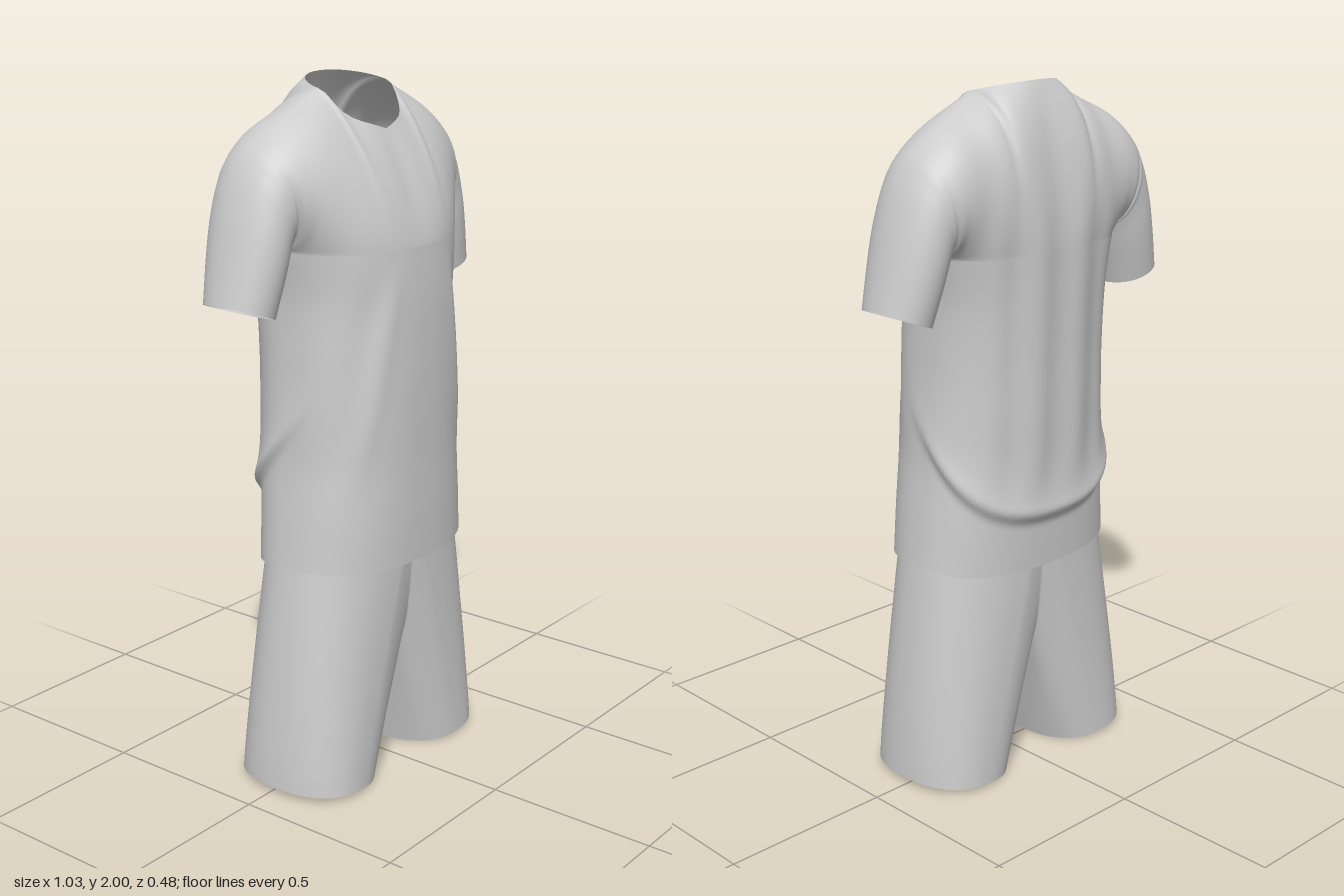
import * as THREE from 'three';
import { mergeGeometries, mergeVertices } from 'three/addons/utils/BufferGeometryUtils.js';

const fabric = new THREE.MeshStandardMaterial({ color: 0xcccccc, side: THREE.DoubleSide });
fabric.name = 'light grey fabric';

// Grid surface: point(u, v) returns [x, y, z] for u, v in 0..1. side = -1 mirrors it.
function surface(point, nu, nv, side = 1, flip = side < 0) {
  const pos = [], idx = [];
  for (let j = 0; j <= nv; j++)
    for (let i = 0; i <= nu; i++) {
      const [x, y, z] = point(i / nu, j / nv);
      pos.push(x * side, y, z);
    }
  for (let j = 0; j < nv; j++)
    for (let i = 0; i < nu; i++) {
      const a = j * (nu + 1) + i, b = a + 1, c = b + nu + 1, d = c - 1;
      if (flip) idx.push(a, c, b, a, d, c);
      else idx.push(a, b, c, a, c, d);
    }
  const g = new THREE.BufferGeometry();
  g.setAttribute('position', new THREE.Float32BufferAttribute(pos, 3));
  g.setIndex(idx);
  return g;
}

// Weld surfaces along their seams into one smooth garment
function garment(name, surfaces) {
  const g = mergeVertices(mergeGeometries(surfaces), 1e-4);
  g.computeVertexNormals();
  const mesh = new THREE.Mesh(g, fabric);
  mesh.name = name;
  return mesh;
}

// Catmull-Rom interpolation between rows of section values
function sample(rows, v) {
  const t = v * (rows.length - 1), k = Math.min(Math.floor(t), rows.length - 2), f = t - k;
  const row = i => rows[Math.max(0, Math.min(rows.length - 1, i))];
  return rows[0].map((_, c) => {
    const [a, b, d, e] = [row(k - 1)[c], row(k)[c], row(k + 1)[c], row(k + 2)[c]];
    return b + 0.5 * f * (d - a + f * (2 * a - 5 * b + 4 * d - e + f * (3 * (b - d) + e - a)));
  });
}

const power = (s, p) => Math.sign(s) * Math.abs(s) ** p;
const bell = (d, w) => Math.exp(-((d / w) ** 2));
const step = THREE.MathUtils.smoothstep;
const mix = THREE.MathUtils.lerp;

// Shirt sections, hem to armpit: half width, front z, back z, middle z, side y, front y, back y
const torsoRows = [
  [0.338, 0.238, -0.2, 0, 0.675, 0.66, 0.645],
  [0.325, 0.24, -0.208, 0, 0.8, 0.8, 0.79],
  [0.309, 0.24, -0.216, 0, 0.95, 0.95, 0.95],
  [0.304, 0.242, -0.222, 0, 1.1, 1.1, 1.1],
  [0.298, 0.242, -0.225, -0.01, 1.25, 1.25, 1.25],
  [0.296, 0.238, -0.23, -0.035, 1.42, 1.42, 1.42],
  [0.315, 0.228, -0.234, -0.058, 1.56, 1.56, 1.56],
];

function torsoRing(a, v) {
  const [hw, zf, zb, zc, ys, yf, yb] = sample(torsoRows, v);
  const s = Math.sin(a), c = Math.cos(a);
  return [
    hw * power(s, 0.82),
    ys + ((c > 0 ? yf : yb) - ys) * Math.abs(c),
    zc + (c > 0 ? zf - zc : zc - zb) * power(c, 0.82),
  ];
}

// Hanging folds down the back
const drape = (x, y) =>
  0.006 * Math.cos(x * 40) * step(y, 0.8, 1) * (1 - step(y, 1.55, 1.82)) * (1 - step(Math.abs(x), 0.15, 0.27));

function torsoPoint(u, v) {
  const a = u * Math.PI * 2, s = Math.sin(a), c = Math.cos(a);
  const [x, y, z] = torsoRing(a, v);
  // slack cloth rolled over the lower back, rising toward the flanks
  const lift = y - (0.79 + 1.2 * (z + 0.225));
  let out = 0.026 * step(lift, -0.04, 0.02) * Math.exp(-Math.max(lift, 0) / 0.07) * (1 - step(z, -0.12, 0.09));
  // slanting folds from the chest to the flanks
  if (c > 0) {
    const ax = Math.abs(x), fade = step(y, 0.85, 1.1) * (1 - step(y, 1.35, 1.55));
    out += (0.006 * bell(ax - 0.1 - (1.6 - y) * 0.2, 0.03) - 0.011 * bell(ax - 0.16 - (1.6 - y) * 0.2, 0.04)) * fade * c;
  }
  return [x + s * out, y, z + c * out + (c < 0 ? drape(x, y) : 0)];
}

// Yoke and sleeve, neck to sleeve hem: ridge x, y, z, underarm x, y,
// then the curve handles (upper y, z, lower y, z) of the front and of the back
const yokeRows = [
  [0.06, 2.01, -0.005, 0.315, 1.56, -0.09, 0.05, 0.09, -0.02, -0.1, -0.05, 0.15, 0],
  [0.148, 1.972, -0.02, 0.315, 1.56, -0.06, 0.09, 0.15, -0.01, -0.01, -0.17, 0.17, -0.02],
  [0.235, 1.93, -0.035, 0.315, 1.56, -0.02, 0.13, 0.12, 0.02, -0.01, -0.17, 0.14, -0.045],
  [0.315, 1.887, -0.05, 0.315, 1.56, -0.01, 0.15, 0.08, 0.09, 0, -0.17, 0.08, -0.11],
  [0.38, 1.832, -0.058, 0.315, 1.56, 0, 0.175, 0, 0.175, 0, -0.175, 0, -0.175],
  [0.412, 1.785, -0.058, 0.317, 1.545, 0, 0.173, 0, 0.173, 0, -0.173, 0, -0.173],
  [0.437, 1.73, -0.058, 0.322, 1.525, 0, 0.17, 0, 0.17, 0, -0.17, 0, -0.17],
  [0.463, 1.65, -0.057, 0.332, 1.485, 0, 0.166, 0, 0.166, 0, -0.166, 0, -0.166],
  [0.489, 1.55, -0.056, 0.346, 1.435, 0, 0.155, 0, 0.155, 0, -0.155, 0, -0.155],
  [0.515, 1.44, -0.055, 0.36, 1.382, 0, 0.14, 0, 0.14, 0, -0.14, 0, -0.14],
];

// One quarter of the upper shirt; dir is 1 for the front, -1 for the back
function yokePoint(dir) {
  return (u, v) => {
    const t = u * 9;
    const row = sample(yokeRows, u);
    const top = row.slice(0, 3);
    const [y1, z1, y2, z2] = dir > 0 ? row.slice(5, 9) : row.slice(9);
    if (t < 1) {
      // collar: shallow V in front, round behind
      const s = Math.sin(t * Math.PI / 2), c = Math.cos(t * Math.PI / 2);
      top[0] = 0.148 * s;
      top[1] = dir > 0 ? 1.86 + 0.045 * s + 0.067 * s ** 8 : 1.972 + 0.028 * c;
      top[2] = -0.02 + (dir > 0 ? 0.116 : -0.114) * c;
    }
    const angle = Math.min(t / 4, 1) * Math.PI / 2;
    const low = t <= 4 ? torsoRing(dir > 0 ? angle : Math.PI - angle, 1) : [row[3], row[4], top[2]];
    const w = 1 - v, h = 3 * v * w;
    const curve = (k, upper, lower) =>
      v ** 3 * top[k] + h * v * (top[k] + upper) + h * w * (low[k] + lower) + w ** 3 * low[k];
    const x = curve(0, 0, 0), y = curve(1, y1, y2), z = curve(2, z1, z2);
    return [x, y, dir < 0 ? z + drape(x, y) : z];
  };
}

// Half of the shorts: round hem below; waist arc outside and crotch seam inside above
function legPoint(outer, inner) {
  return (u, v) => {
    const sin = Math.sin(u * Math.PI * 2), cos = Math.cos(u * Math.PI * 2), outside = sin > 1e-6;
    const s = power(sin, 0.85);
    const hemX = (outer + inner) / 2 + s * (outer - inner) / 2;
    const hemZ = 0.015 + 0.195 * power(cos, 0.85);
    const topX = outside ? 0.306 * s : 0;
    const topY = outside ? 0.85 : 0.38 + 0.47 * Math.abs(cos) ** 6;
    const topZ = 0.015 + 0.19 * power(cos, outside ? 0.85 : 0.55);
    return [
      mix(hemX, topX, outside ? v ** (1 + 0.3 * s) : v),
      mix(0.015 + 0.01 * s, topY, v),
      mix(hemZ, topZ, v),
    ];
  };
}

export function createModel() {
  const model = new THREE.Group();
  model.name = 'sportsOutfit';

  const shirt = [surface(torsoPoint, 128, 90)];
  for (const side of [1, -1])
    for (const dir of [1, -1]) shirt.push(surface(yokePoint(dir), 72, 32, side, side * dir < 0));

  const legs = [
    surface(legPoint(0.39, 0.07), 64, 30, 1),
    surface(legPoint(0.412, 0.095), 64, 30, -1),
  ];

  model.add(garment('shirt', shirt), garment('shorts', legs));
  return model;
}
